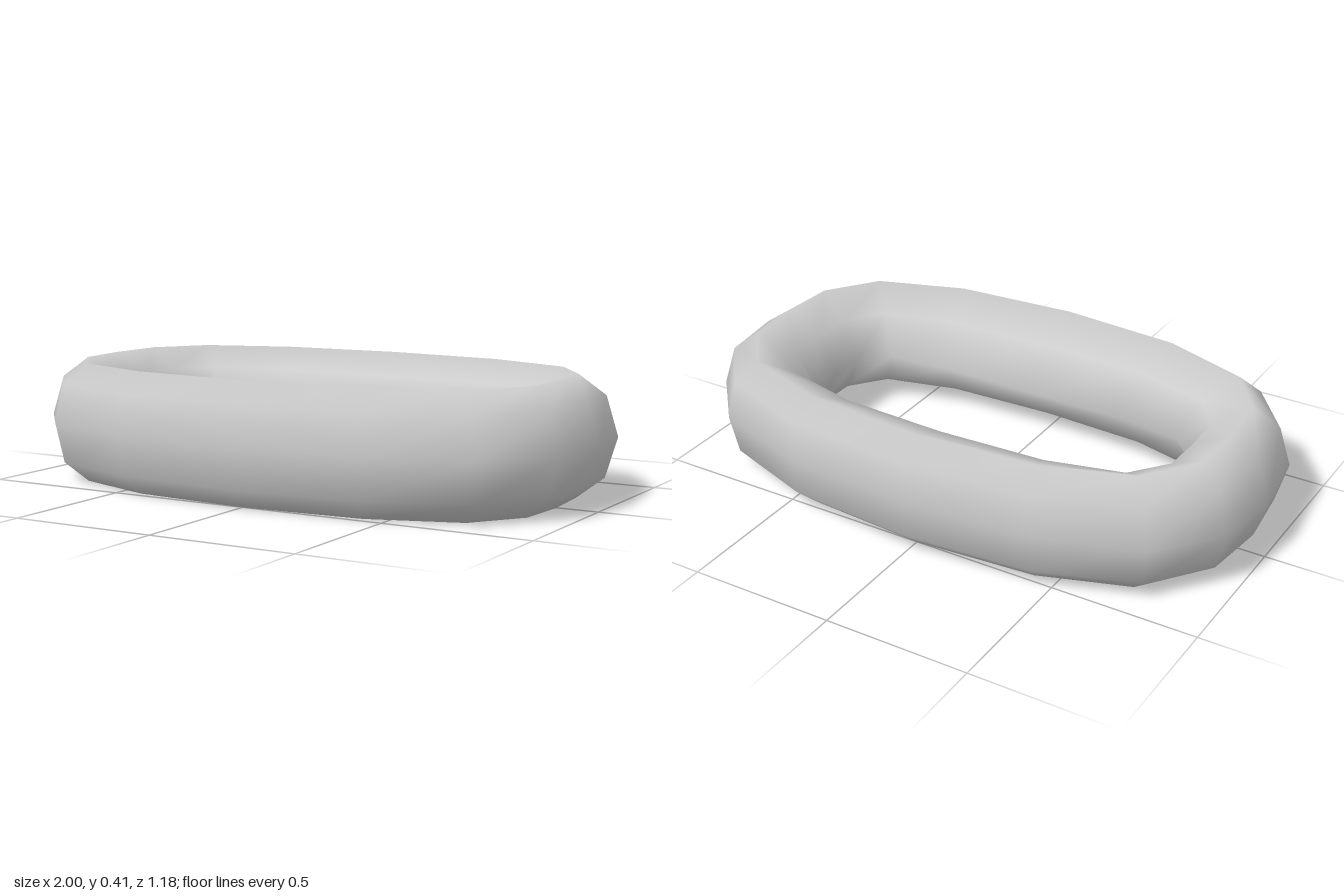
import * as THREE from 'three';

// One quarter of the outer and inner outlines, from the end (+x) to the long side (+z)
const OUTER = [[1, 0], [0.965, 0.245], [0.795, 0.445], [0.45, 0.56], [0, 0.592]];
const INNER = [[0.665, 0], [0.66, 0.12], [0.57, 0.208], [0.34, 0.235], [0, 0.235]];

// Cross-section: height, and position between inner (0) and outer (1) at the ends and on the sides
const SECTION = [
  [0.203, 1, 1], [0.338, 0.866, 0.958], [0.406, 0.58, 0.746], [0.338, 0.19, 0.32],
  [0.203, 0, 0], [0.068, 0.19, 0.32], [0, 0.58, 0.746], [0.068, 0.866, 0.958],
];
const STEPS = 16;

// Mirror a quarter outline to any of the 16 steps around the ring
function outlinePoint(quarter, j) {
  const k = j % 8;
  const [x, z] = quarter[k <= 4 ? k : 8 - k];
  const sx = j > 4 && j < 12 ? -1 : 1;
  const sz = j > 8 ? -1 : 1;
  return new THREE.Vector2(x * sx, z * sz);
}

function createLinkGeometry() {
  const positions = [];
  const indices = [];
  const n = SECTION.length;
  for (let j = 0; j < STEPS; j++) {
    const outer = outlinePoint(OUTER, j);
    const inner = outlinePoint(INNER, j);
    const side = Math.sin((j / STEPS) * Math.PI * 2) ** 2;
    SECTION.forEach(([y, tEnd, tSide], i) => {
      const p = inner.clone().lerp(outer, THREE.MathUtils.lerp(tEnd, tSide, side));
      positions.push(p.x, y, p.y);
      const a = j * n + i;
      const b = j * n + ((i + 1) % n);
      const c = ((j + 1) % STEPS) * n + i;
      const d = ((j + 1) % STEPS) * n + ((i + 1) % n);
      indices.push(a, b, c, b, d, c);
    });
  }
  const geometry = new THREE.BufferGeometry();
  geometry.setAttribute('position', new THREE.Float32BufferAttribute(positions, 3));
  geometry.setIndex(indices);
  geometry.computeVertexNormals();
  return geometry;
}

export function createModel() {
  const group = new THREE.Group();
  group.name = 'chainLink';
  const link = new THREE.Mesh(
    createLinkGeometry(),
    new THREE.MeshStandardMaterial({ color: 0xcccccc })
  );
  link.name = 'linkRing';
  group.add(link);
  return group;
}
